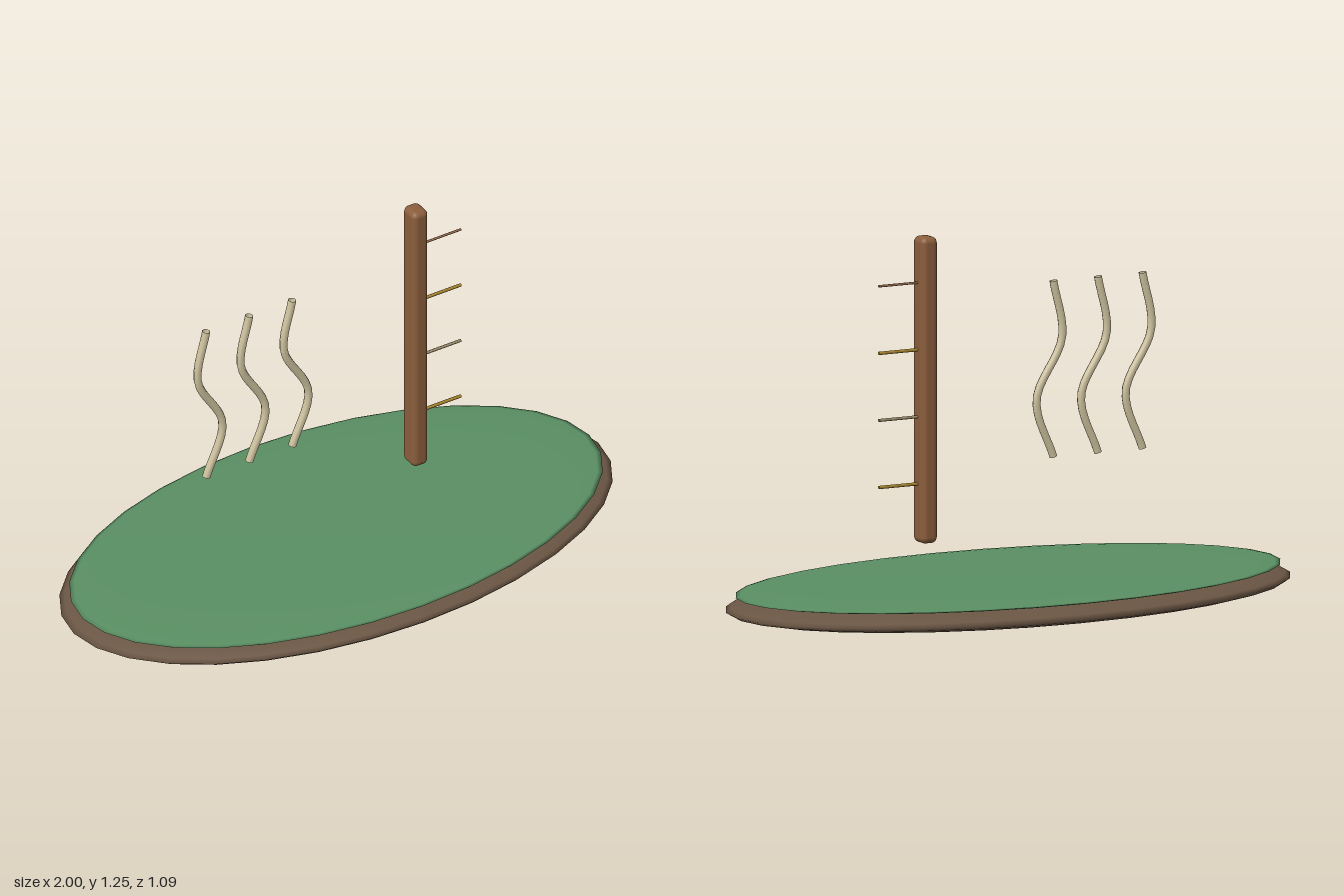
import * as THREE from 'three';
import { RoundedBoxGeometry } from 'three/addons/geometries/RoundedBoxGeometry.js';

const paint = (color, side = THREE.FrontSide) => new THREE.MeshStandardMaterial({ color, side });

export function createModel() {
  const model = new THREE.Group();
  const add = (name, geometry, material, x, y, z = 0) => {
    const mesh = new THREE.Mesh(geometry, material);
    mesh.name = name;
    mesh.position.set(x, y, z);
    model.add(mesh);
    return mesh;
  };

  // Oval base: a flattened earth disc with a thinner grass disc on top
  const ball = new THREE.SphereGeometry(1, 32, 16);
  add('earthBase', ball, paint(0x6b5644), 0, 0.06).scale.set(1, 0.059, 0.545);
  add('grassTop', ball, paint(0x5a8f63), 0, 0.105).scale.set(0.965, 0.0175, 0.523);

  // Upright post with rounded edges
  add('post', new RoundedBoxGeometry(0.06, 1.005, 0.073, 3, 0.02), paint(0x8b5e3c), 0.304, 0.752);

  // Thin pegs on the post's left side, in alternating colours
  const pegColors = [paint(0xa8852f), paint(0x9a8a68), paint(0xa8852f), paint(0x9a6f50)];
  const pegRadii = [0.0055, 0.005, 0.0055, 0.004];
  pegColors.forEach((material, i) => {
    const peg = new THREE.CylinderGeometry(pegRadii[i], pegRadii[i], 0.16, 8).rotateZ(Math.PI / 2);
    add('peg' + (i + 1), peg, material, 0.396, 0.444 + i * 0.22);
  });

  // Three wavy wisps floating beside the post
  const wave = new THREE.CatmullRomCurve3(
    [[0, 0], [0.062, 0.19], [-0.032, 0.39], [0, 0.577]].map(([x, y]) => new THREE.Vector3(x, y, 0)));
  const wisp = new THREE.TubeGeometry(wave, 20, 0.0135, 8);
  const wispPaint = paint(0xd0c4a0, THREE.DoubleSide);
  for (let i = 0; i < 3; i++) add('wisp' + (i + 1), wisp, wispPaint, -0.495 + i * 0.164, 0.491);

  return model;
}
